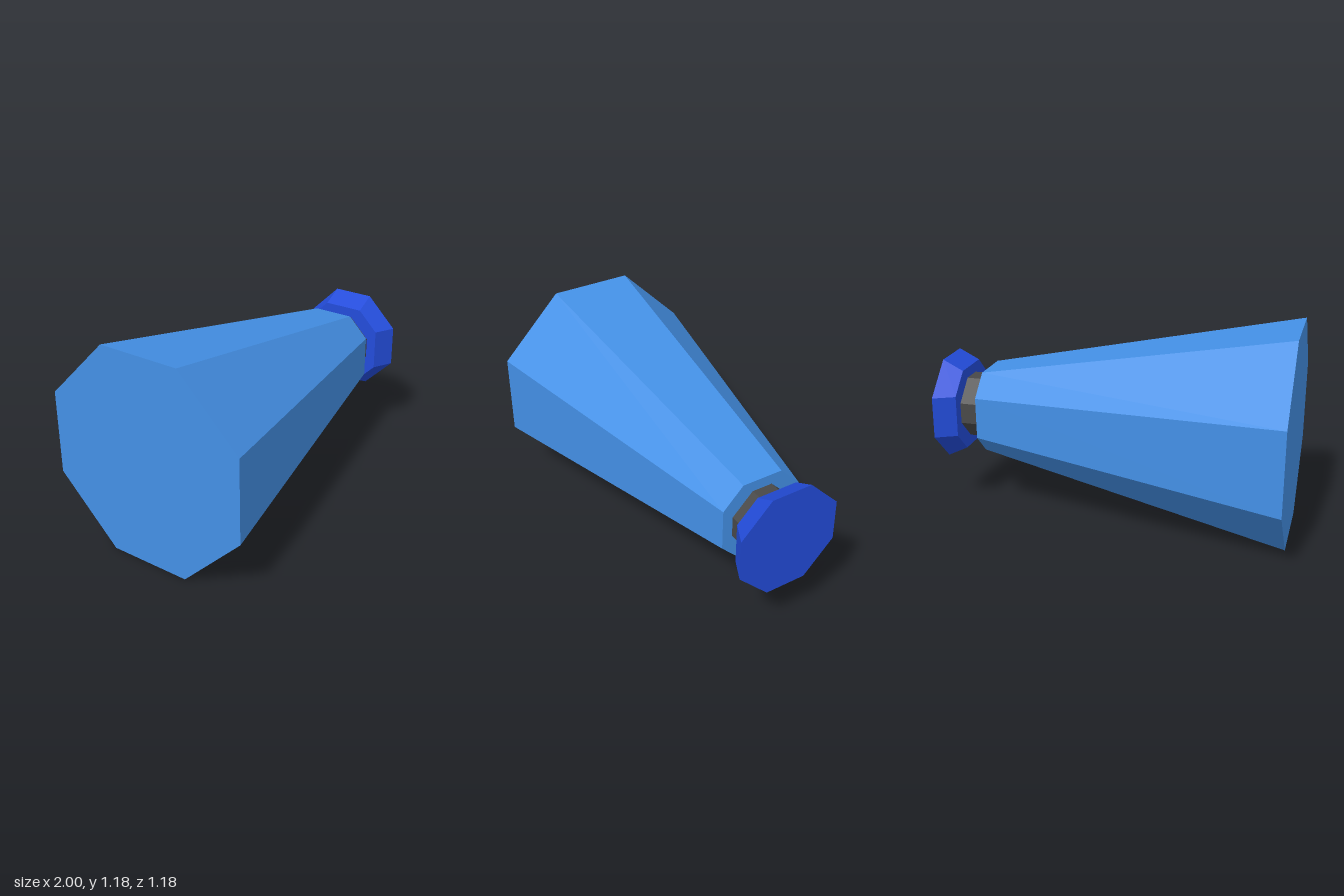
import * as THREE from 'three';

const U = 2 / 17; // grid unit: the model is 17 units long

// Octagon across the x axis: f = half width, e = half length of the flat edges
function octagon(x, f, e) {
  return [[f, -e], [f, e], [e, f], [-e, f], [-f, e], [-f, -e], [-e, -f], [e, -f]]
    .map(([y, z]) => [x * U - 1, (y + 5) * U, z * U]);
}

// Closed solid between two octagons
function loft(name, color, start, end) {
  const a = octagon(...start), b = octagon(...end);
  const pos = [];
  const tri = (...pts) => pts.forEach((p) => pos.push(...p));
  for (let i = 0; i < 8; i++) {
    const j = (i + 1) % 8;
    tri(a[i], a[j], b[j]);
    tri(a[i], b[j], b[i]);
    if (i > 0 && i < 7) {
      tri(a[0], a[j], a[i]);
      tri(b[0], b[i], b[j]);
    }
  }
  const geometry = new THREE.BufferGeometry();
  geometry.setAttribute('position', new THREE.Float32BufferAttribute(pos, 3));
  geometry.computeVertexNormals();
  const mesh = new THREE.Mesh(geometry, new THREE.MeshStandardMaterial({ color, flatShading: true }));
  mesh.name = name;
  return mesh;
}

export function createModel() {
  const group = new THREE.Group();
  group.name = 'taperedFlask';
  // Each end is [x, half width, half flat edge] in units
  group.add(
    loft('body', 0x4490e6, [0, 5, 2], [15, 2, 1]),
    loft('neck', 0x484848, [15, 1.5, 0.5], [16, 1.5, 0.5]),
    loft('cap', 0x234cda, [16, 2, 1], [17, 2.5, 1]),
  );
  return group;
}
